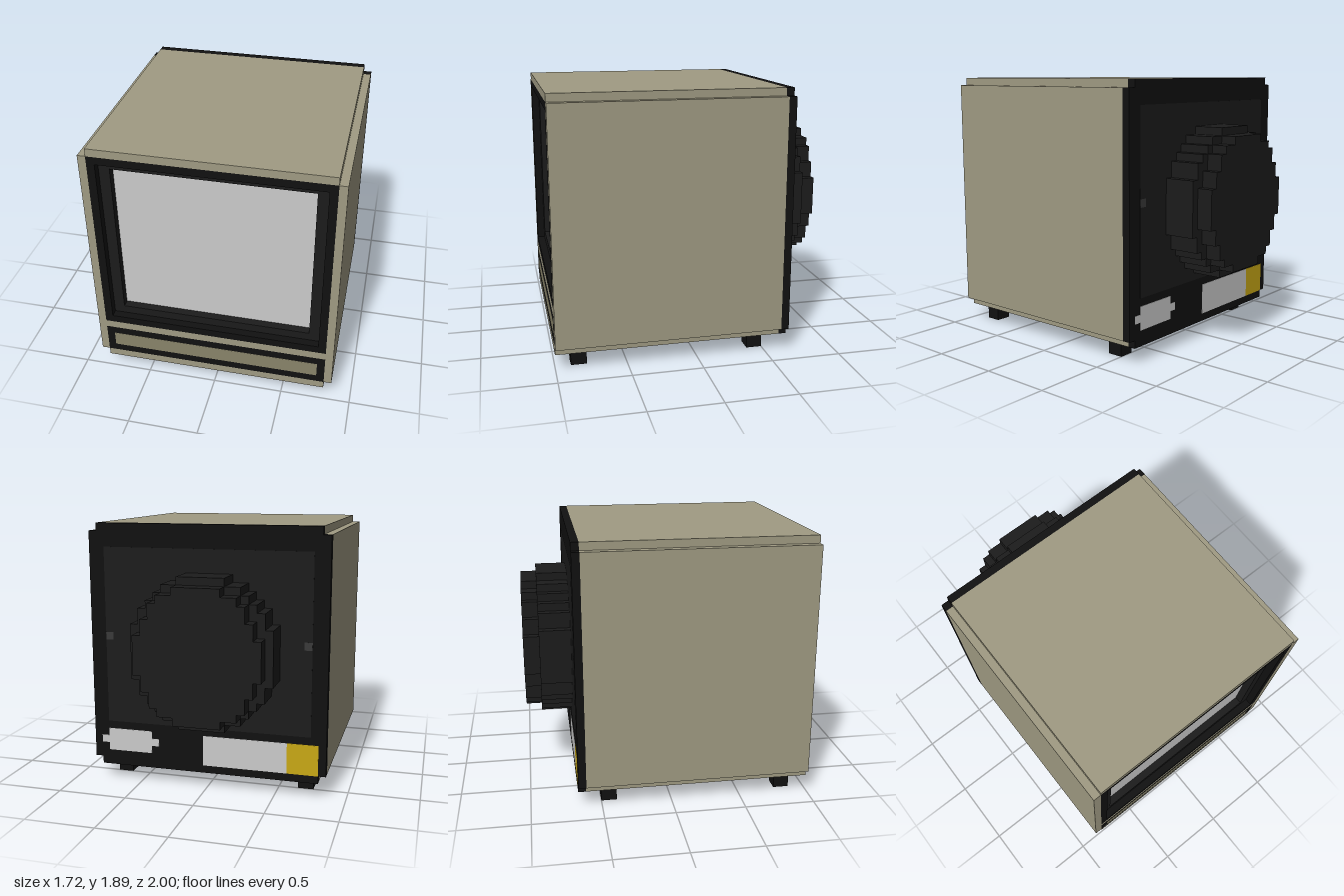
import * as THREE from 'three';
import { mergeGeometries } from 'three/addons/utils/BufferGeometryUtils.js';

const U = 1 / 18; // one block; all sizes below are in blocks

const mat = (color) => new THREE.MeshStandardMaterial({ color, flatShading: true });
const beige = mat(0xa09b83), olive = mat(0x89846a), black = mat(0x111111);
const dark = mat(0x1c1c1c), grey = mat(0xc4c4c4), socketGrey = mat(0x3a3a3a), yellow = mat(0xc9a816);

// Box from its limits
function boxGeo(x0, x1, y0, y1, z0, z1) {
  return new THREE.BoxGeometry(x1 - x0, y1 - y0, z1 - z0)
    .translate((x0 + x1) / 2, (y0 + y1) / 2, (z0 + z1) / 2);
}

function rect(Type, x, y0, y1) {
  return new Type([[-x, y0], [x, y0], [x, y1], [-x, y1]].map((p) => new THREE.Vector2(...p)));
}

// Square section with one block cut out of each corner
function notched() {
  const pts = [[-14.5, 2], [14.5, 2], [14.5, 3], [15.5, 3], [15.5, 33], [14.5, 33],
    [14.5, 34], [-14.5, 34], [-14.5, 33], [-15.5, 33], [-15.5, 3], [-14.5, 3]];
  return new THREE.Shape(pts.map((p) => new THREE.Vector2(...p)));
}

function slab(shape, z0, z1, holes = []) {
  shape.holes.push(...holes);
  return new THREE.ExtrudeGeometry(shape, { depth: z1 - z0, bevelEnabled: false }).translate(0, 0, z0);
}

// One layer of the blocky disc: a row of blocks for each unit of height
function discLayer(rx, ry, z0, z1) {
  const rows = [];
  for (let j = 0; j < 2 * ry; j++) {
    const t = (j + 0.5 - ry) / ry;
    const w = Math.round(rx * Math.sqrt(1 - t * t));
    const y = 18.5 - ry + j;
    rows.push(boxGeo(-0.5 - w, -0.5 + w, y, y + 1, z0, z1));
  }
  return mergeGeometries(rows);
}

export function createModel() {
  const model = new THREE.Group();
  model.name = 'monitor';
  const blocks = new THREE.Group();
  blocks.name = 'monitorParts';
  blocks.scale.setScalar(U);
  model.add(blocks);

  const add = (name, geometry, material) => {
    const mesh = new THREE.Mesh(geometry, material);
    mesh.name = name;
    blocks.add(mesh);
  };
  const box = (name, material, ...limits) => add(name, boxGeo(...limits), material);

  // Cabinet with openings for the screen and the control strip
  add('cabinet', slab(notched(), -11, 18,
    [rect(THREE.Path, 14.5, 3, 7), rect(THREE.Path, 14.5, 8, 33)]), beige);

  // Stepped screen surround and recessed screen
  add('screenRim', slab(rect(THREE.Shape, 14.5, 8, 33), 17, 18, [rect(THREE.Path, 13.5, 9, 32)]), black);
  add('screenInnerFrame', slab(rect(THREE.Shape, 14.5, 8, 33), 16, 17,
    [rect(THREE.Path, 12.15, 10.1, 31)]), dark);
  box('screen', grey, -14.5, 14.5, 8, 33, 15, 16);

  // Control strip
  box('controlSurround', black, -14.5, 14.5, 3, 7, 15, 18);
  box('controlCover', olive, -13.5, 13.5, 4, 6, 17, 18.02);

  // Back panel
  add('backFrame', slab(notched(), -12, -11), black);
  box('backCover', dark, -13.5, 13.5, 8, 31, -12.02, -11.5);

  // Tube housing bulging out of the back
  add('tubeHousingBase', discLayer(9, 9.5, -16, -12), dark);
  add('tubeHousingCap', discLayer(8, 8.5, -18, -16), dark);

  // Rear plates and sockets
  box('ratingPlate', grey, -10.5, 0.5, 3, 7, -12.04, -11.5);
  box('warningPlate', yellow, -14.5, -10.5, 3, 7, -12.04, -11.5);
  box('connector', grey, 7.5, 13.5, 4, 7, -12.04, -11.5);
  box('connectorEars', grey, 6.5, 14.5, 5, 6, -12.03, -11.5);

  // Mirrored side sockets and feet
  for (const s of [-1, 1]) {
    box('sideSocket', socketGrey, s * 13 - 0.5, s * 13 + 0.5, 19, 20, -12.04, -11.5);
    for (const z of [-8, 15]) {
      box('foot', black, s * 12.5 - 1, s * 12.5 + 1, 0, 2, z - 1, z + 1);
    }
  }
  return model;
}
